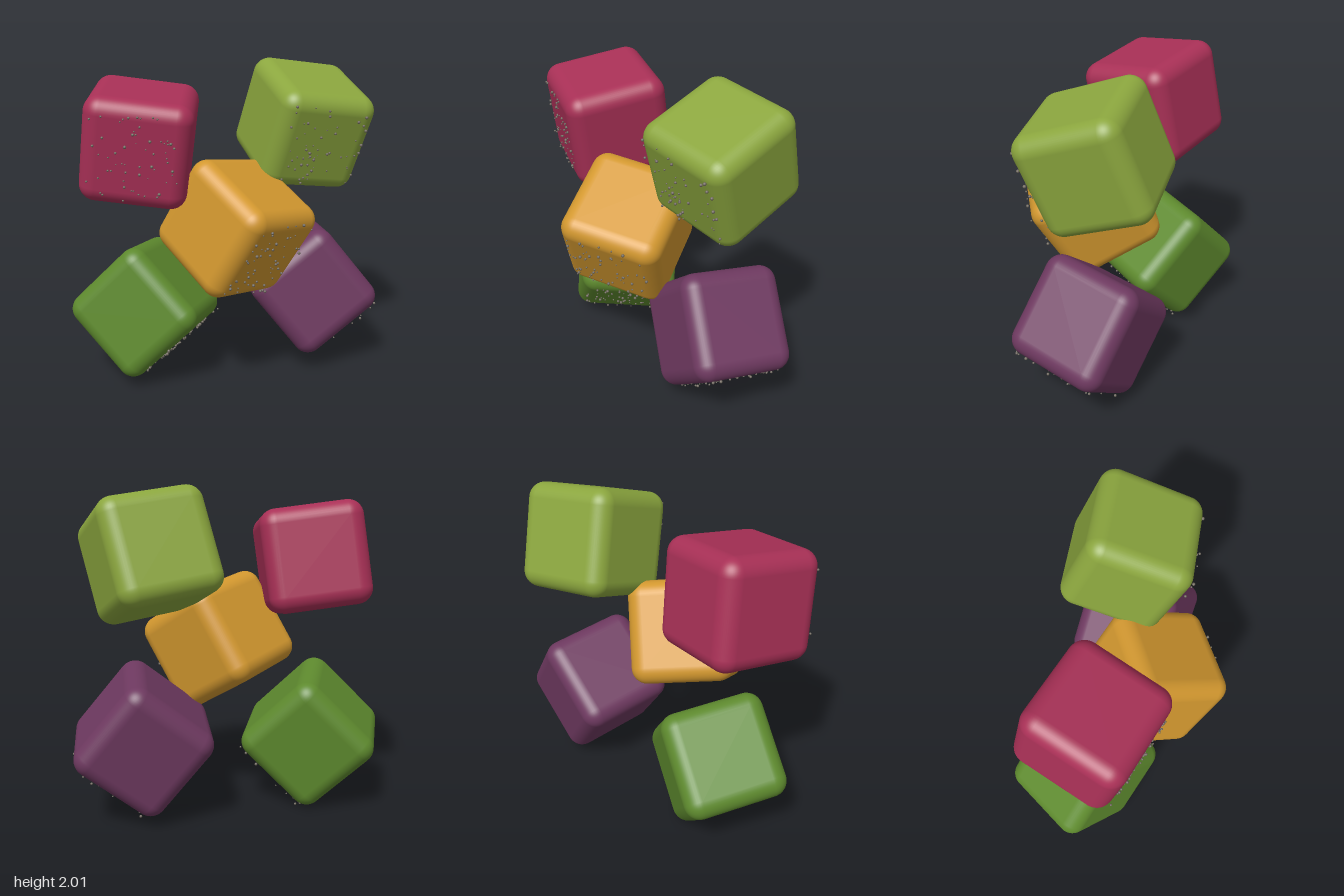
import * as THREE from 'three';
import { mergeGeometries } from 'three/addons/utils/BufferGeometryUtils.js';
import { RoundedBoxGeometry } from 'three/addons/geometries/RoundedBoxGeometry.js';

const SIZE = 0.64, RADIUS = 0.1;

// position, direction of the sprinkled face, and a second edge direction
const CUBES = [
  { name: 'upperRightCube', color: 0xa83056, material: 'raspberry', at: [-0.56, 1.53, -0.06], face: [-0.279, -0.15, 0.953], edge: [0.08, 0.985, 0.18] },
  { name: 'upperLeftCube', color: 0x8ba63e, material: 'lime', at: [0.508, 1.585, -0.135], face: [0.066, -0.343, 0.934], edge: [0.165, 0.93, 0.33] },
  { name: 'middleCube', color: 0xd3982f, material: 'amber', at: [-0.015, 1.01, 0.15], face: [0.42, -0.497, 0.768], edge: [0.385, 0.863, 0.35] },
  { name: 'lowerRightCube', color: 0x5e8a2e, material: 'leafGreen', at: [-0.535, 0.433, -0.16], face: [0.56, -0.69, 0.43], edge: [0.65, 0.7, 0.28] },
  { name: 'lowerLeftCube', color: 0x6e3960, material: 'plum', at: [0.562, 0.487, -0.11], face: [0.6, -0.78, 0.22], edge: [-0.2, 0.125, 0.97] },
];

function seeded(seed) {
  return () => {
    seed = (seed * 16807) % 2147483647;
    return seed / 2147483647;
  };
}

function makeMaterial(name, color) {
  const material = new THREE.MeshStandardMaterial({ color });
  material.name = name;
  return material;
}

// rotation taking local +z to the sprinkled face and +y to the edge direction
function orientation(face, edge) {
  const z = new THREE.Vector3(...face).normalize();
  const x = new THREE.Vector3(...edge).cross(z).normalize();
  const y = z.clone().cross(x);
  return new THREE.Quaternion().setFromRotationMatrix(new THREE.Matrix4().makeBasis(x, y, z));
}

// tiny grains scattered over the local +z face
function grainGeometry(random, count) {
  const grains = [];
  for (let i = 0; i < count; i++) {
    const grain = new THREE.IcosahedronGeometry(0.004 + random() * 0.006, 1);
    grain.translate((random() - 0.5) * 0.54, (random() - 0.5) * 0.54, SIZE / 2 + random() * 0.012);
    grains.push(grain);
  }
  return mergeGeometries(grains);
}

export function createModel() {
  const model = new THREE.Group();
  model.name = 'tumblingCubes';
  const grainMaterial = makeMaterial('grainGrey', 0x716a60);
  const cubeGeometry = new RoundedBoxGeometry(SIZE, SIZE, SIZE, 6, RADIUS);

  CUBES.forEach((spec, i) => {
    const group = new THREE.Group();
    group.name = spec.name;
    group.position.set(...spec.at);
    group.quaternion.copy(orientation(spec.face, spec.edge));

    const body = new THREE.Mesh(cubeGeometry, makeMaterial(spec.material, spec.color));
    body.name = 'cubeBody';
    const grains = new THREE.Mesh(grainGeometry(seeded(1234 + i * 7919), 60), grainMaterial);
    grains.name = 'grains';
    group.add(body, grains);
    model.add(group);
  });
  return model;
}
